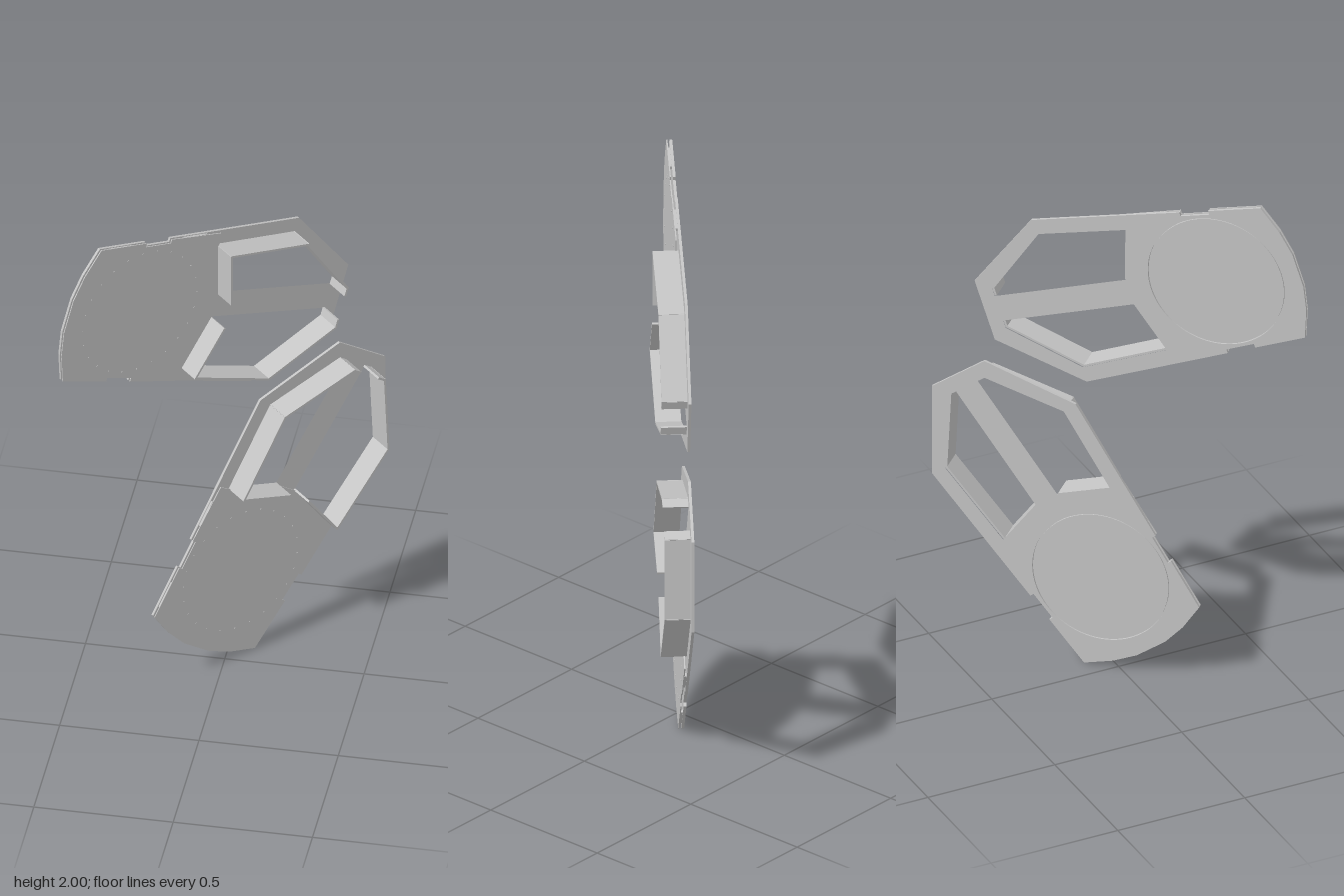
import * as THREE from 'three';

const steel = new THREE.MeshStandardMaterial({ color: 0xc4c4c4 });
steel.name = 'plain grey';

// Upper half of each outline as [along, across]; the lower half is mirrored
const END = [[-0.06, 0.065], [-0.04, 0.16], [0, 0.264]];
const SIDE = [[0.2, 0.279], [0.2, 0.264], [0.31, 0.272], [0.31, 0.287]];
const WINDOW = [[0.6, 0.05], [0.535, 0.245], [0.872, 0.272], [1.112, 0.08], [1.112, 0.05]];
const SKIN_DEPTH = 0.007, WALL_TOP = 0.088;

const mirror = (pts) => pts.map(([s, t]) => [s, -t]).reverse();
const toShape = (pts, Kind = THREE.Shape) => new Kind(pts.map(([s, t]) => new THREE.Vector2(s, t)));

function plate(shape, back, depth, name) {
  const geo = new THREE.ExtrudeGeometry(shape, { depth, bevelEnabled: false, curveSegments: 40 });
  geo.translate(0, 0, back);
  const mesh = new THREE.Mesh(geo, steel);
  mesh.name = name;
  return mesh;
}

// Upright strip standing on the plate between two points
function wall([s0, t0], [s1, t1], name) {
  const len = Math.hypot(s1 - s0, t1 - t0), base = -0.004;
  const mesh = new THREE.Mesh(new THREE.BoxGeometry(len + 0.006, 0.008, WALL_TOP - base), steel);
  mesh.position.set((s0 + s1) / 2, (t0 + t1) / 2, (WALL_TOP + base) / 2);
  mesh.rotation.z = Math.atan2(t1 - t0, s1 - s0);
  mesh.name = name;
  return mesh;
}

function makePanel() {
  const panel = new THREE.Group();

  // Back plate with two windows, a central bar and a round opening
  const half = [...END, ...SIDE, [0.877, 0.33], [1.168, 0.12]];
  const outline = toShape([...half, ...mirror(half)]);
  outline.holes.push(toShape(WINDOW, THREE.Path), toShape(mirror(WINDOW), THREE.Path));
  const opening = new THREE.Path();
  opening.absarc(0.26, 0, 0.255, 0, Math.PI * 2);
  outline.holes.push(opening);
  panel.add(plate(outline, -0.014, 0.01, 'backPlate'));

  // Disc filling the round opening
  const disc = new THREE.Shape();
  disc.absarc(0.26, 0, 0.252, 0, Math.PI * 2);
  panel.add(plate(disc, -0.013, 0.008, 'accessDisc'));

  // Front skin over the solid part
  const skinHalf = [...END, ...SIDE, [0.53, 0.298], [0.535, 0.245], [0.6, 0.05]];
  panel.add(plate(toShape([...skinHalf, ...mirror(skinHalf)]), SKIN_DEPTH - 0.004, 0.004, 'frontSkin'));

  // Walls around the windows, and spacers between skin and back plate
  for (const side of [1, -1]) {
    const pts = WINDOW.map(([s, t]) => [s, t * side]);
    const names = ['windowBaseWall', 'windowSideWall', 'windowSlopeWall', 'windowTipWall'];
    names.forEach((name, i) => panel.add(wall(pts[i], pts[i + 1], name)));
    for (const s of [0.09, 0.42]) {
      const spacer = new THREE.Mesh(new THREE.BoxGeometry(0.1, 0.012, 0.012), steel);
      spacer.position.set(s, side * (0.255 + s * 0.075), -0.001);
      spacer.rotation.z = side * 0.075;
      spacer.name = 'edgeSpacer';
      panel.add(spacer);
    }
  }

  // Ring of small screws
  const screwGeo = new THREE.CylinderGeometry(0.003, 0.003, 0.002, 8).rotateX(Math.PI / 2);
  for (let i = 0; i < 24; i++) {
    const a = (i / 24) * Math.PI * 2;
    const screw = new THREE.Mesh(screwGeo, steel);
    screw.position.set(0.26 + Math.cos(a) * 0.245, Math.sin(a) * 0.245, SKIN_DEPTH + 0.0008);
    screw.name = 'screw';
    panel.add(screw);
  }
  return panel;
}

export function createModel() {
  const model = new THREE.Group();
  model.name = 'panelPair';
  // Both panels stand in one upright plane, turned 45 degrees
  model.rotation.y = Math.PI / 4;
  const layout = [
    ['upperPanel', -0.615, 1.75, -18.3],
    ['lowerPanel', -0.09, 0.155, 54.2],
  ];
  for (const [name, u, y, degrees] of layout) {
    const panel = makePanel();
    panel.name = name;
    panel.position.set(u, y, 0);
    panel.rotation.z = THREE.MathUtils.degToRad(degrees);
    model.add(panel);
  }
  const root = new THREE.Group();
  root.add(model);
  return root;
}
